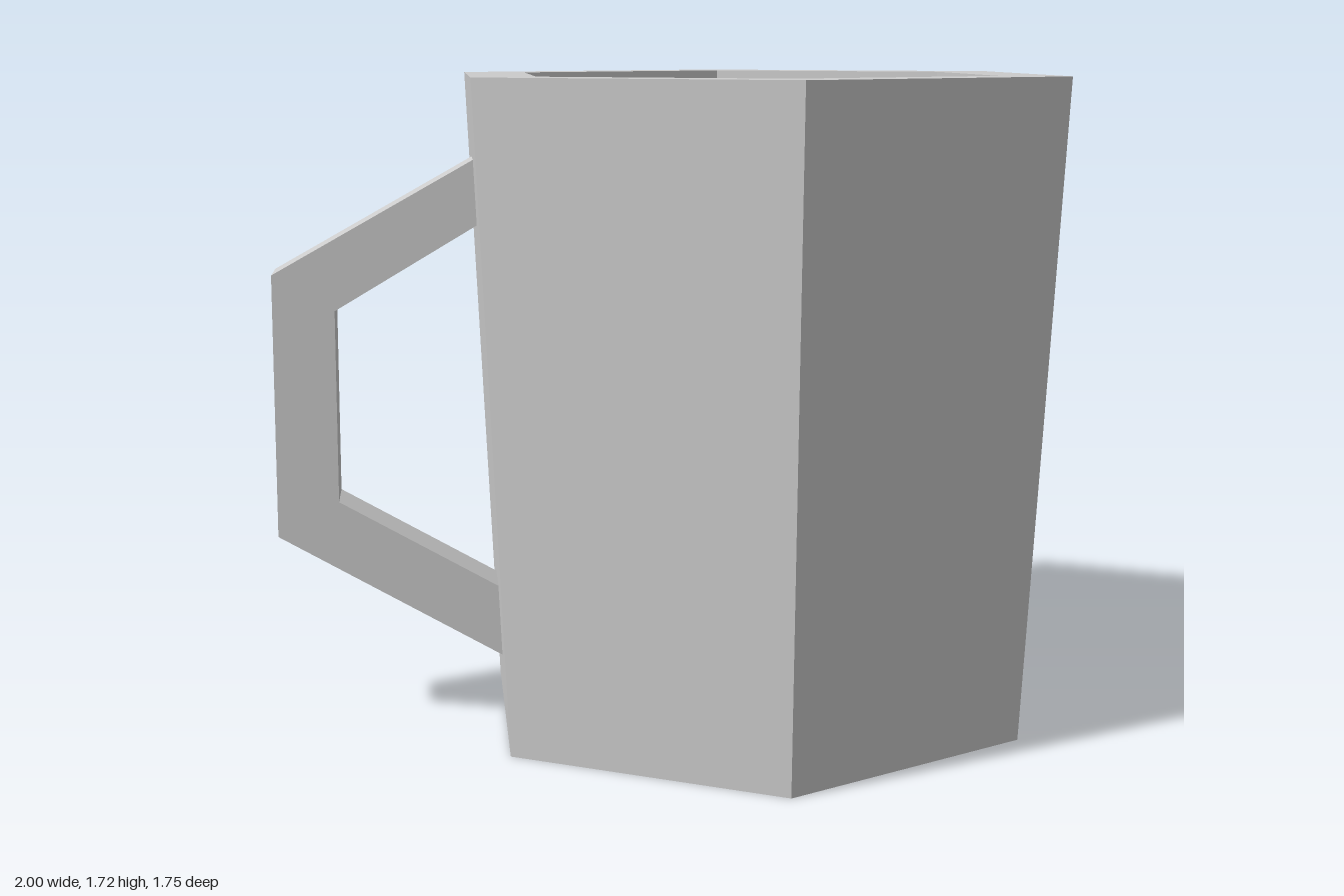
import * as THREE from 'three';

const CX = 0.255, CZ = 0.013; // cup axis

const paint = (color) => new THREE.MeshStandardMaterial({ color, flatShading: true, side: THREE.DoubleSide });

function add(parent, name, geometry, material) {
  const mesh = new THREE.Mesh(geometry, material);
  mesh.name = name;
  parent.add(mesh);
  return mesh;
}

const shapeOf = (points) => new THREE.Shape(points.map(([x, y]) => new THREE.Vector2(x, y)));

// Flat hexagon with corners on the z axis
function hexagon(radius) {
  return new THREE.CircleGeometry(radius, 6).rotateX(-Math.PI / 2).rotateY(Math.PI / 6);
}

// Upright panel with its two top corners cut off
function panel(width, bottom, shoulder, top, topWidth) {
  const w = width / 2, t = topWidth / 2;
  return new THREE.ShapeGeometry(shapeOf([[-w, bottom], [w, bottom], [w, shoulder], [t, top], [-t, top], [-w, shoulder]]));
}

export function createModel() {
  const model = new THREE.Group();
  model.name = 'mug';
  const grey = paint(0xcccccc), tan = paint(0xe0b898), brown = paint(0xc8a08c), teal = paint(0x8fc7b5);

  // Six-sided tapered cup with a thick rim
  const cup = new THREE.Group();
  cup.name = 'cup';
  cup.position.set(CX, 0, CZ);
  model.add(cup);
  const profile = [[0, 0], [0.765, 0], [0.858, 1.72], [0.67, 1.72], [0.66, 1.45]]
    .map(([r, y]) => new THREE.Vector2(r, y));
  add(cup, 'cupBody', new THREE.LatheGeometry(profile, 6), grey);

  // Drink surface with a darker middle
  add(cup, 'drink', hexagon(0.664), tan).position.y = 1.46;
  add(cup, 'drinkCentre', hexagon(0.485), brown).position.y = 1.464;

  // Angular handle on the right side
  const handleShape = shapeOf([
    [-0.44, 1.525], [-1, 1.21], [-1, 0.52], [-0.37, 0.157],
    [-0.37, 0.342], [-0.84, 0.61], [-0.84, 1.115], [-0.44, 1.352],
  ]);
  const handle = new THREE.ExtrudeGeometry(handleShape, { depth: 0.17, bevelEnabled: false });
  add(model, 'handle', handle, grey).position.z = -0.075;

  // Tag leaning against the back right wall
  const tag = new THREE.Group();
  tag.name = 'tag';
  const out = 0.853, angle = Math.PI * 7 / 6;
  tag.position.set(Math.sin(angle) * out, 0.87, Math.cos(angle) * out);
  tag.rotation.set(-0.124, angle, 0, 'YXZ');
  cup.add(tag);
  add(tag, 'tagPaper', panel(0.596, 0, 0.7, 0.85, 0.33), teal);
  add(tag, 'tagCentre', panel(0.375, 0.12, 0.67, 0.765, 0.2), brown).position.z = 0.004;

  return model;
}
